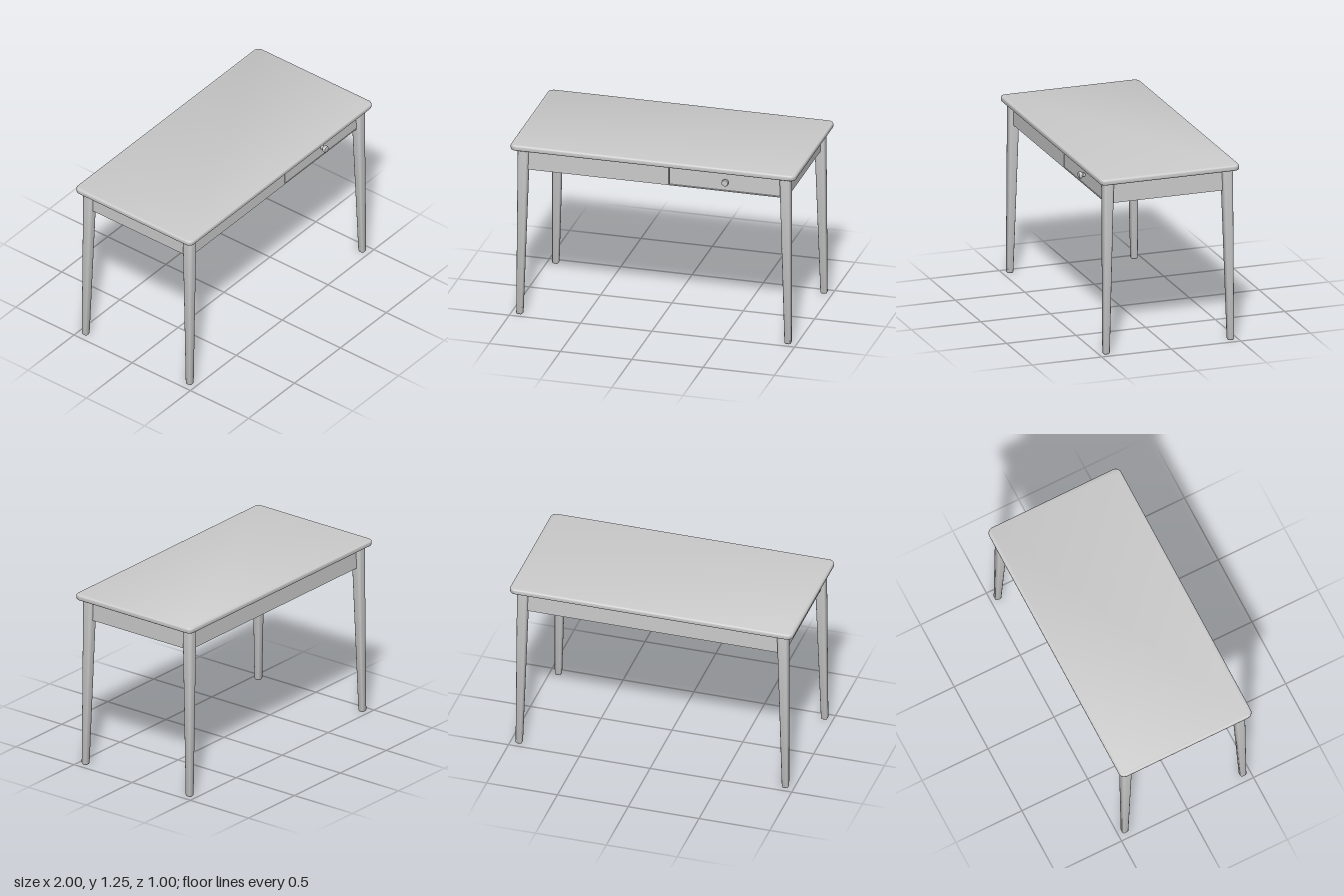
import * as THREE from 'three';
import { toCreasedNormals } from 'three/addons/utils/BufferGeometryUtils.js';

const paint = new THREE.MeshStandardMaterial({ color: 0xcccccc });
paint.name = 'light grey';

function roundedRect(w, d, r) {
  const x = w / 2, y = d / 2, s = new THREE.Shape();
  s.absarc(x - r, y - r, r, 0, Math.PI / 2);
  s.absarc(-x + r, y - r, r, Math.PI / 2, Math.PI);
  s.absarc(-x + r, -y + r, r, Math.PI, Math.PI * 1.5);
  s.absarc(x - r, -y + r, r, Math.PI * 1.5, Math.PI * 2);
  s.closePath();
  return s;
}

function add(group, name, geometry, x = 0, y = 0, z = 0) {
  const mesh = new THREE.Mesh(geometry, paint);
  mesh.name = name;
  mesh.position.set(x, y, z);
  group.add(mesh);
  return mesh;
}

// Box given by its limits on each axis
function addBox(group, name, [x0, x1], [y0, y1], [z0, z1]) {
  return add(group, name, new THREE.BoxGeometry(x1 - x0, y1 - y0, z1 - z0),
    (x0 + x1) / 2, (y0 + y1) / 2, (z0 + z1) / 2);
}

// Tapered leg: rounded-square sections, vertical on its outer sides
function legGeometry(sx, sz) {
  const unit = [];
  const r = 0.55;
  for (let c = 0; c < 4; c++) {
    const mid = Math.PI / 4 + c * Math.PI / 2;
    for (let i = 0; i <= 5; i++) {
      const a = c * Math.PI / 2 + i * Math.PI / 10;
      unit.push([Math.sign(Math.cos(mid)) * (1 - r) + r * Math.cos(a),
        Math.sign(Math.sin(mid)) * (1 - r) + r * Math.sin(a)]);
    }
  }
  // height, half width, centre x, centre z
  const sections = [
    [0, 0.017, 0.94, 0.447],
    [0.003, 0.02, 0.94, 0.447],
    [0.01, 0.0225, 0.94, 0.447],
    [1.21, 0.038, 0.918, 0.428],
  ];
  const n = unit.length, pos = [], index = [];
  for (const [y, h, cx, cz] of sections)
    for (const [u, v] of unit) pos.push(sx * cx + u * h, y, sz * cz + v * h);
  for (let k = 0; k < sections.length - 1; k++)
    for (let i = 0; i < n; i++) {
      const a = k * n + i, b = k * n + (i + 1) % n;
      index.push(a, a + n, b, b, a + n, b + n);
    }
  // end caps
  const last = (sections.length - 1) * n;
  for (let i = 1; i < n - 1; i++) {
    index.push(0, i, i + 1);
    index.push(last, last + i + 1, last + i);
  }
  const g = new THREE.BufferGeometry();
  g.setAttribute('position', new THREE.Float32BufferAttribute(pos, 3));
  g.setIndex(index);
  return toCreasedNormals(g, 0.7);
}

export function createModel() {
  const desk = new THREE.Group();
  desk.name = 'desk';

  // Table top with rounded corners and softened edges
  const bevel = 0.012;
  let top = new THREE.ExtrudeGeometry(roundedRect(2 - 2 * bevel, 1 - 2 * bevel, 0.03), {
    depth: 0.04 - 2 * bevel, bevelEnabled: true, bevelSize: bevel,
    bevelThickness: bevel, bevelSegments: 4, curveSegments: 8,
  });
  top.rotateX(-Math.PI / 2);
  add(desk, 'tableTop', toCreasedNormals(top, 0.6), 0, 1.21 + bevel, 0);

  // Legs
  for (const sx of [-1, 1])
    for (const sz of [-1, 1])
      add(desk, (sz > 0 ? 'front' : 'back') + (sx > 0 ? 'Left' : 'Right') + 'Leg', legGeometry(sx, sz));

  // Aprons between the legs
  const high = [1.06, 1.21];
  addBox(desk, 'backApron', [-0.9, 0.9], high, [-0.44, -0.41]);
  addBox(desk, 'leftApron', [0.9, 0.93], high, [-0.41, 0.41]);
  addBox(desk, 'rightApron', [-0.93, -0.9], high, [-0.41, 0.41]);
  addBox(desk, 'frontApron', [-0.9, 0.1], high, [0.41, 0.44]);
  addBox(desk, 'drawerRail', [0.1, 0.9], [1.06, 1.066], [0.41, 0.44]);

  // Drawer
  const drawer = new THREE.Group();
  drawer.name = 'drawer';
  desk.add(drawer);
  addBox(drawer, 'drawerFront', [0.107, 0.885], [1.07, 1.205], [0.41, 0.44]);
  addBox(drawer, 'drawerBox', [0.14, 0.88], [1.07, 1.18], [-0.27, 0.41]);

  // Round knob, turned on a lathe
  const profile = [[0, 0], [0.014, 0], [0.014, 0.018], [0.021, 0.023], [0.024, 0.03],
    [0.024, 0.038], [0.021, 0.044], [0, 0.046]].map(([x, y]) => new THREE.Vector2(x, y));
  const knob = add(drawer, 'drawerKnob',
    toCreasedNormals(new THREE.LatheGeometry(profile, 24), 0.8), 0.505, 1.137, 0.44);
  knob.rotation.x = Math.PI / 2;

  return desk;
}
